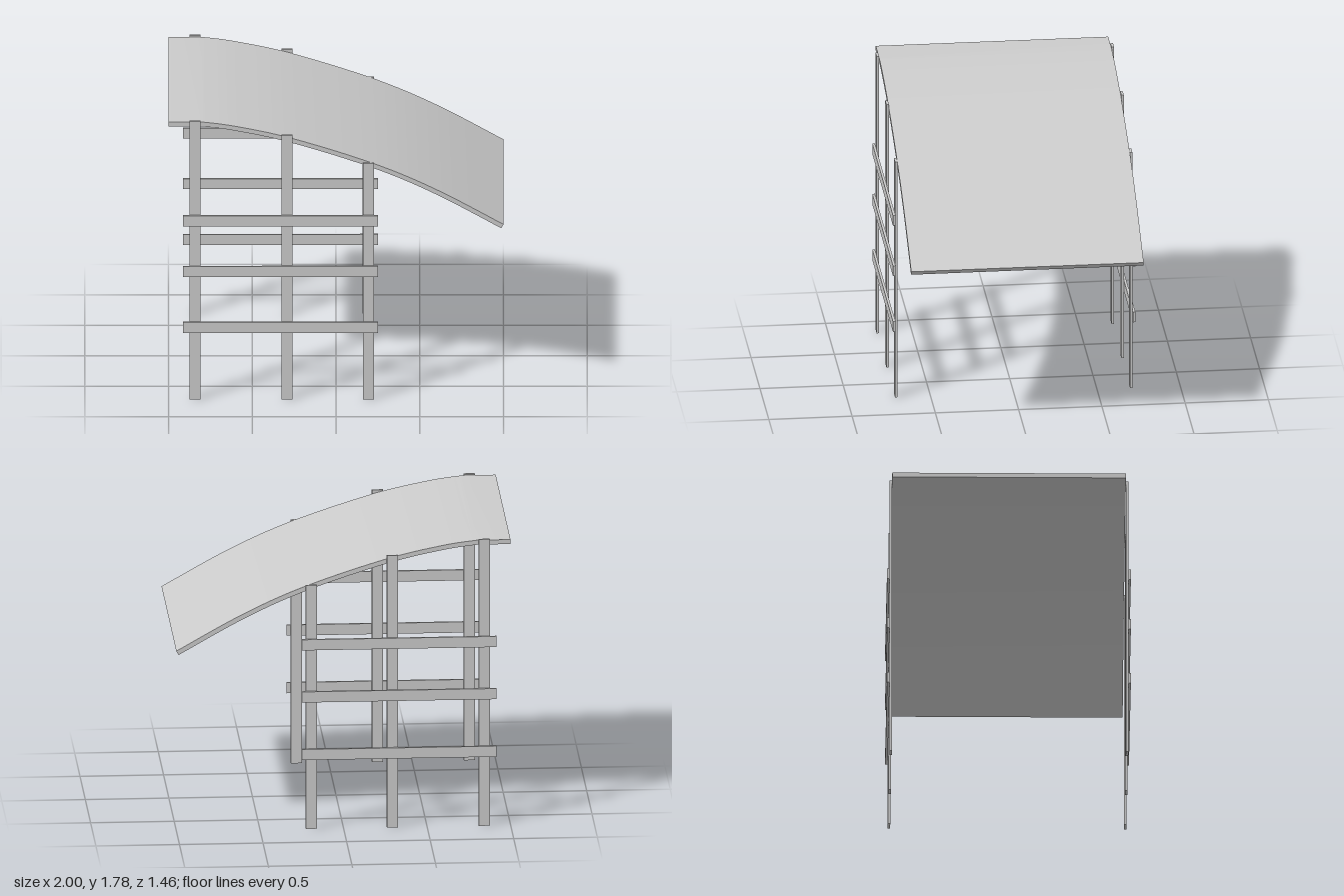
import * as THREE from 'three';
import { toCreasedNormals } from 'three/addons/utils/BufferGeometryUtils.js';

const ROOF_HALF = 0.698, POST_T = 0.015, RAIL_T = 0.015;

export function createModel() {
  const model = new THREE.Group();
  const material = new THREE.MeshStandardMaterial({ color: 0xcccccc });

  const add = (parent, name, geometry) => {
    const mesh = new THREE.Mesh(geometry, material);
    mesh.name = name;
    parent.add(mesh);
    return mesh;
  };
  // Box given by its limits in x, y and z
  const board = (parent, name, x0, x1, y0, y1, z0, z1) =>
    add(parent, name, new THREE.BoxGeometry(x1 - x0, y1 - y0, Math.abs(z1 - z0)))
      .position.set((x0 + x1) / 2, (y0 + y1) / 2, (z0 + z1) / 2);

  // Curved roof sheet: top profile, offset along its normals for the thickness
  const curve = new THREE.SplineCurve([
    [-0.8, 1.772], [-0.6, 1.744], [-0.26, 1.666], [0.226, 1.505], [0.6, 1.338], [1, 1.115],
  ].map(([x, y]) => new THREE.Vector2(x, y)));
  const top = [new THREE.Vector2(-1, 1.772)];
  const bottom = [new THREE.Vector2(-1, 1.744)];
  const steps = 28, thickness = 0.028;
  for (let i = 0; i <= steps; i++) {
    const p = curve.getPoint(i / steps), t = curve.getTangent(i / steps);
    top.push(p);
    bottom.push(new THREE.Vector2(p.x + t.y * thickness, p.y - t.x * thickness));
  }
  const roof = new THREE.ExtrudeGeometry(new THREE.Shape([...top, ...bottom.reverse()]), {
    depth: 2 * ROOF_HALF, bevelEnabled: false, steps: 1,
  });
  roof.translate(0, 0, -ROOF_HALF);
  add(model, 'roof', toCreasedNormals(roof, 0.5));

  // Side frames: three posts with three rails on their outer faces
  const posts = [[-0.842, 1.78], [-0.292, 1.69], [0.193, 1.513]];
  const rails = [0.465, 0.823, 1.147];
  for (const side of [1, -1]) {
    const frame = new THREE.Group();
    frame.name = side > 0 ? 'frontFrame' : 'backFrame';
    model.add(frame);
    const z0 = side * ROOF_HALF, z1 = z0 + side * POST_T, z2 = z1 + side * RAIL_T;
    for (const [x, height] of posts) board(frame, 'post', x - 0.033, x + 0.033, 0, height, z0, z1);
    for (const y of rails) board(frame, 'rail', -0.914, 0.251, y - 0.033, y + 0.033, z1, z2);
  }
  return model;
}
